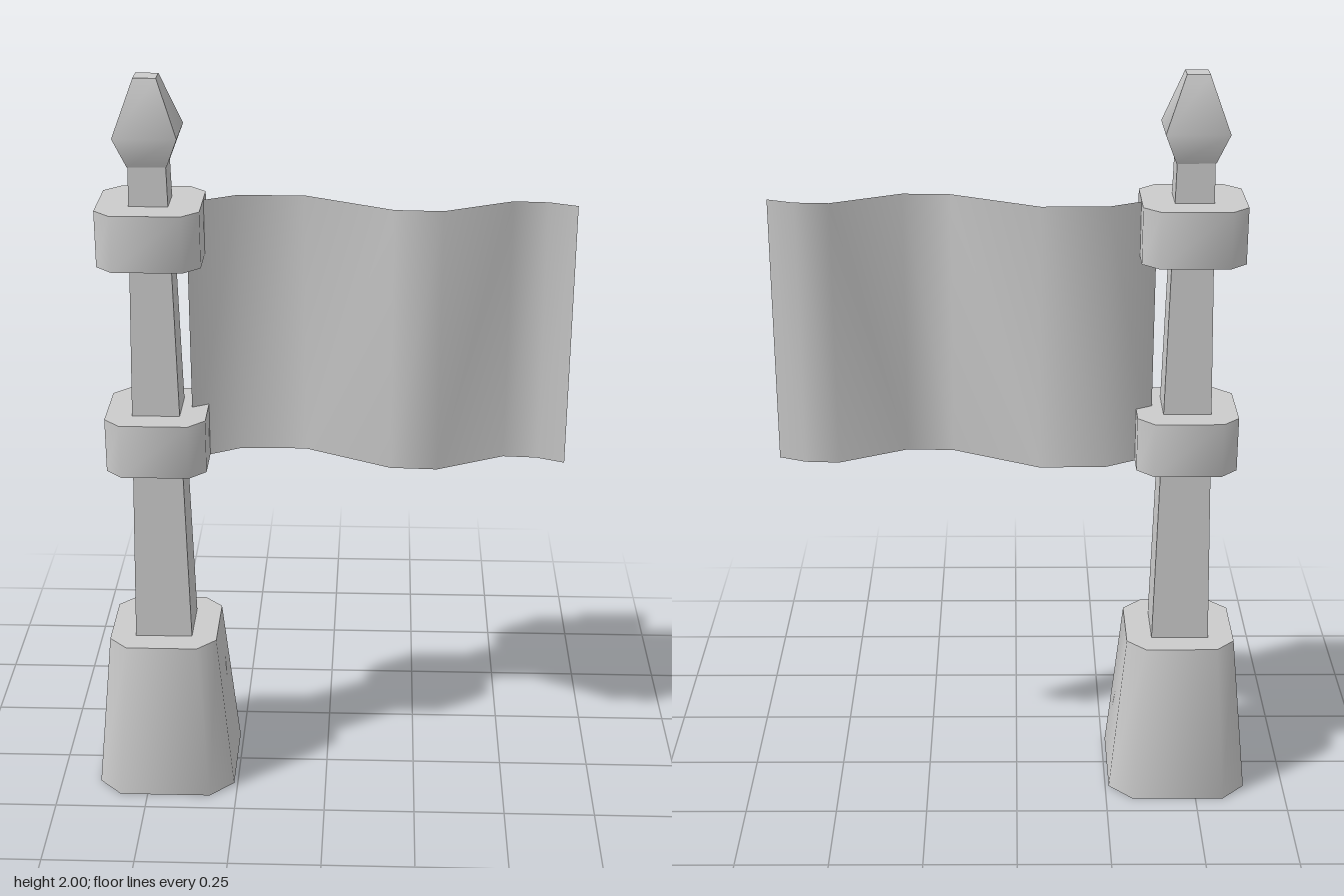
import * as THREE from 'three';
import { toCreasedNormals } from 'three/addons/utils/BufferGeometryUtils.js';

const POLE_X = -0.45;

// Corner loop of a square with optional cut corners
function outline([y, half, cut]) {
  const points = [];
  for (let i = 0; i < 4; i++) {
    const corner = cut ? [[half, half - cut], [half - cut, half]] : [[half, half]];
    const c = Math.round(Math.cos(i * Math.PI / 2));
    const s = Math.round(Math.sin(i * Math.PI / 2));
    for (const [x, z] of corner) points.push([x * c - z * s, y, x * s + z * c]);
  }
  return points;
}

// Closed solid through sections of [height, half width, corner cut]
function loft(sections) {
  const rings = sections.map(outline);
  const n = rings[0].length;
  const index = [];
  for (let r = 0; r < rings.length - 1; r++) {
    for (let i = 0; i < n; i++) {
      const a = r * n + i, b = r * n + (i + 1) % n;
      index.push(a, a + n, b, b, a + n, b + n);
    }
  }
  const top = (rings.length - 1) * n;
  for (let i = 1; i < n - 1; i++) {
    index.push(0, i, i + 1);
    index.push(top, top + i + 1, top + i);
  }
  const geometry = new THREE.BufferGeometry();
  geometry.setAttribute('position', new THREE.Float32BufferAttribute(rings.flat(2), 3));
  geometry.setIndex(index);
  return toCreasedNormals(geometry.toNonIndexed(), 0.9);
}

// Thin cloth sheet following a wavy [x, z] line
function cloth(wave, bottom, top) {
  const geometry = new THREE.PlaneGeometry(1, top - bottom, wave.length - 1, 1);
  const position = geometry.attributes.position;
  for (let i = 0; i < position.count; i++) {
    const [x, z] = wave[i % wave.length];
    position.setXYZ(i, x, i < wave.length ? top : bottom, z);
  }
  geometry.computeVertexNormals();
  return geometry;
}

export function createModel() {
  const model = new THREE.Group();
  model.name = 'flagPost';
  const material = new THREE.MeshStandardMaterial({ color: 0xcccccc });

  const add = (name, geometry, x = 0, mat = material) => {
    const mesh = new THREE.Mesh(geometry, mat);
    mesh.name = name;
    mesh.position.x = x;
    model.add(mesh);
  };

  // Tapered foot, square pole and pointed tip
  add('base', loft([[0, 0.19, 0.064], [0.45, 0.147, 0.05]]), POLE_X);
  add('pole', loft([[0.44, 0.078, 0], [1.78, 0.048, 0]]), POLE_X);
  add('finial', loft([[1.78, 0.05, 0], [1.86, 0.081, 0], [2, 0.029, 0]]), POLE_X);

  // Two collars holding the flag
  for (const [name, y] of [['lowerCollar', 0.96], ['upperCollar', 1.53]]) {
    add(name, loft([[y, 0.133, 0.043], [y + 0.148, 0.133, 0.043]]), POLE_X);
  }

  // Waving flag
  const wave = [
    [-0.36, 0], [-0.235, -0.068], [-0.06, -0.07], [0.17, 0.048],
    [0.295, 0.054], [0.475, -0.036], [0.565, -0.03], [0.637, 0],
  ];
  const clothMaterial = new THREE.MeshStandardMaterial({ color: 0xcccccc, side: THREE.DoubleSide });
  add('flag', cloth(wave, 0.96, 1.675), 0, clothMaterial);

  return model;
}
